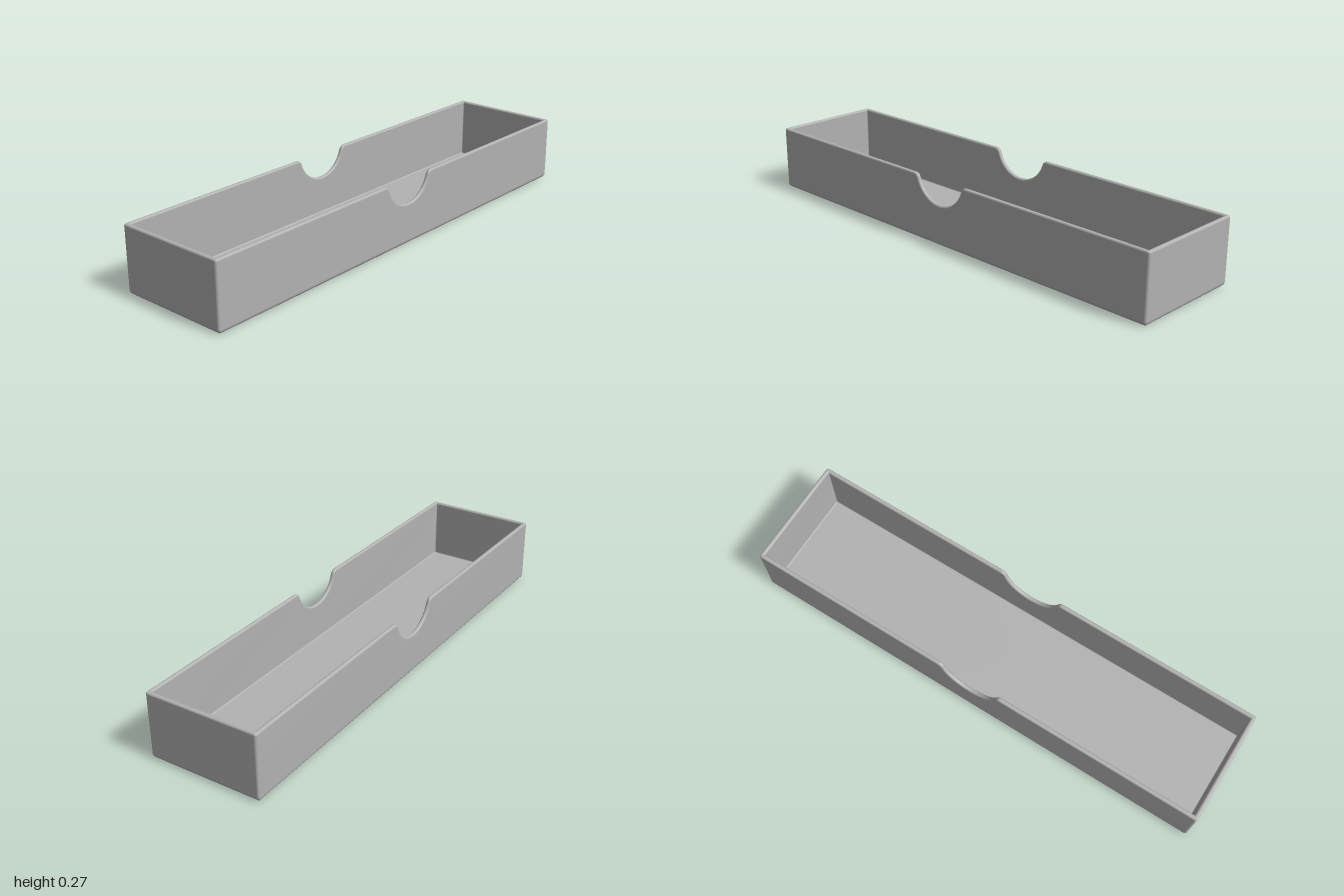
import * as THREE from 'three';

const HX = 1, HZ = 0.237, H = 0.274;      // half length, half depth, height
const WALL = 0.018, FLOOR = 0.018;
const CORNER = 0.01, BASE_R = 0.02, RIM_R = 0.008, INNER_R = 0.005;
const NOTCH_R = 0.125, NOTCH_Y = 0.17, LIP_R = 0.025;

// Rim line through the thumb notch, left to right: position and upward normal
function notchLine() {
  const cy = NOTCH_Y + NOTCH_R, ly = H - LIP_R;
  const lx = Math.sqrt((NOTCH_R + LIP_R) ** 2 - (cy - ly) ** 2);
  const tilt = Math.atan2(lx, cy - ly);
  const pts = [];
  for (let i = 0; i <= 8; i++) {
    const a = tilt * i / 8;
    pts.push({ x: -lx + LIP_R * Math.sin(a), y: ly + LIP_R * Math.cos(a), mx: Math.sin(a), my: Math.cos(a) });
  }
  for (let i = 1; i < 24; i++) {
    const a = tilt * (1 - i / 12);
    pts.push({ x: -NOTCH_R * Math.sin(a), y: cy - NOTCH_R * Math.cos(a), mx: Math.sin(a), my: Math.cos(a) });
  }
  const mirrored = pts.slice(0, 9).reverse().map(p => ({ x: -p.x, y: p.y, mx: -p.mx, my: p.my }));
  return [...pts, ...mirrored];
}

// Profile from underside, up the outside, over the rim and down to the floor.
// Points with "drop" follow the rim; points with "y" stay level.
function wallProfile() {
  const rows = [], N = 6;
  const quarter = i => Math.PI / 2 * i / N;
  for (let i = 0; i <= N; i++) rows.push({ inset: BASE_R * (1 - Math.sin(quarter(i))), y: BASE_R * (1 - Math.cos(quarter(i))) });
  for (let i = 0; i <= N; i++) rows.push({ inset: RIM_R * (1 - Math.cos(quarter(i))), drop: RIM_R * (1 - Math.sin(quarter(i))) });
  for (let i = 0; i <= N; i++) rows.push({ inset: WALL - RIM_R * (1 - Math.sin(quarter(i))), drop: RIM_R * (1 - Math.cos(quarter(i))) });
  for (let i = 0; i <= N; i++) rows.push({ inset: WALL + INNER_R * (1 - Math.cos(quarter(i))), y: FLOOR + INNER_R * (1 - Math.sin(quarter(i))) });
  return rows;
}

// One closed loop around the tray
function ring(row, notch) {
  const out = [], level = row.y !== undefined;
  const hx = HX - row.inset, hz = HZ - row.inset, r = Math.max(CORNER - row.inset, 0.004);
  const side = s => notch.forEach(p => out.push(
    s * (level ? p.x : p.x - p.mx * row.drop),
    level ? row.y : p.y - p.my * row.drop,
    s * hz));
  const corner = (sx, sz, start) => {
    for (let i = 0; i <= 5; i++) {
      const a = start + Math.PI / 2 * i / 5;
      out.push(sx * (hx - r) + r * Math.sin(a), level ? row.y : H - row.drop, sz * (hz - r) + r * Math.cos(a));
    }
  };
  side(1);
  corner(1, 1, 0);
  corner(1, -1, Math.PI / 2);
  side(-1);
  corner(-1, -1, Math.PI);
  corner(-1, 1, Math.PI * 1.5);
  return out;
}

function trayGeometry() {
  const notch = notchLine(), rows = wallProfile();
  const rings = rows.map(row => ring(row, notch));
  const n = rings[0].length / 3, pos = rings.flat(), idx = [];
  for (let r = 0; r < rings.length - 1; r++) {
    for (let i = 0; i < n; i++) {
      const j = (i + 1) % n, a = r * n + i, b = r * n + j;
      idx.push(a, b, b + n, a, b + n, a + n);
    }
  }
  // Underside and inside floor
  const under = rings.length * n, floor = under + 1, last = (rings.length - 1) * n;
  pos.push(0, 0, 0, 0, FLOOR, 0);
  for (let i = 0; i < n; i++) {
    const j = (i + 1) % n;
    idx.push(under, j, i, floor, last + i, last + j);
  }
  const g = new THREE.BufferGeometry();
  g.setAttribute('position', new THREE.Float32BufferAttribute(pos, 3));
  g.setIndex(idx);
  g.computeVertexNormals();
  return g;
}

export function createModel() {
  const group = new THREE.Group();
  group.name = 'openTray';
  const grey = new THREE.MeshStandardMaterial({ color: 0xb2b2b2 });
  grey.name = 'plain grey';
  const tray = new THREE.Mesh(trayGeometry(), grey);
  tray.name = 'notchedTray';
  group.add(tray);
  return group;
}
